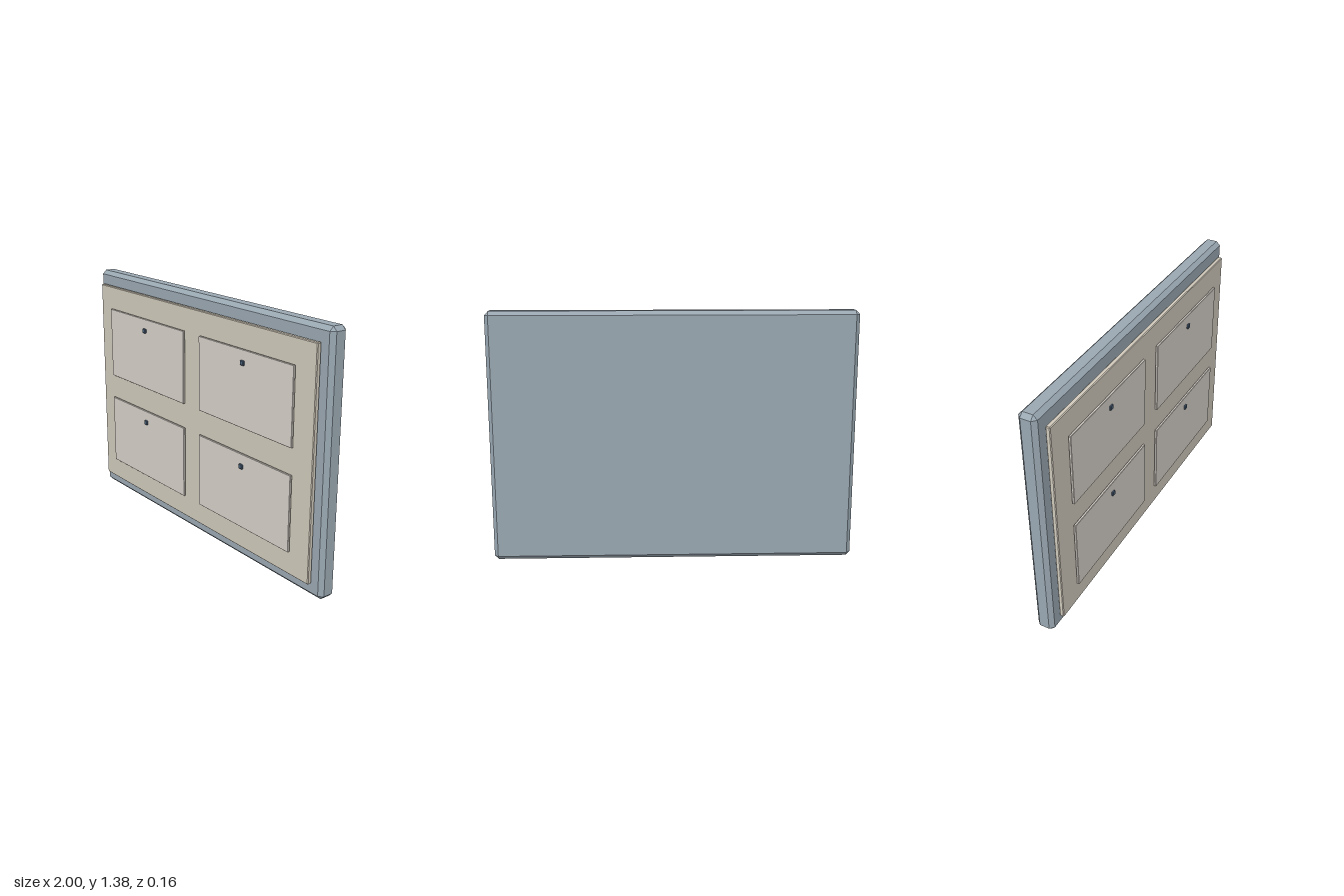
import * as THREE from 'three';
import { ConvexGeometry } from 'three/addons/geometries/ConvexGeometry.js';

const material = (color) => new THREE.MeshStandardMaterial({ color, flatShading: true });

// Box with every edge chamfered by c, centred on its origin
function chamferBox(w, h, d, c) {
  const points = [];
  for (const x of [-w / 2, w / 2])
    for (const y of [-h / 2, h / 2])
      for (const z of [-d / 2, d / 2]) {
        const corner = new THREE.Vector3(x, y, z);
        // one point per adjoining face, pulled in along the other two axes
        for (const axis of ['x', 'y', 'z']) {
          const p = new THREE.Vector3(x - Math.sign(x) * c, y - Math.sign(y) * c, z - Math.sign(z) * c);
          p[axis] = corner[axis];
          points.push(p);
        }
      }
  return new ConvexGeometry(points);
}

export function createModel() {
  const model = new THREE.Group();
  model.name = 'noticeBoard';

  const add = (name, geometry, mat, x, y, z) => {
    const mesh = new THREE.Mesh(geometry, mat);
    mesh.name = name;
    mesh.position.set(x, y, z);
    model.add(mesh);
  };

  // Thick chamfered backing and the thin panel in front of it
  add('frame', chamferBox(2, 1.382, 0.1, 0.022), material(0x9aa8b2), 0, 0.691, -0.032);
  add('panel', chamferBox(1.88, 1.226, 0.025, 0.004), material(0xd0c9bb), 0, 0.693, 0.04);

  // Four sheets, each held by a small pin near its top edge
  const sheetGeometry = chamferBox(0.74, 0.412, 0.013, 0.002);
  const pinGeometry = chamferBox(0.026, 0.026, 0.012, 0.003);
  const sheetMaterial = material(0xd5cfc8);
  const pinMaterial = material(0x4a6078);
  for (const y of [0.417, 0.97])
    for (const x of [-0.44, 0.44]) {
      add('sheet', sheetGeometry, sheetMaterial, x, y, 0.066);
      add('pin', pinGeometry, pinMaterial, x, y + 0.139, 0.077);
    }

  return model;
}
